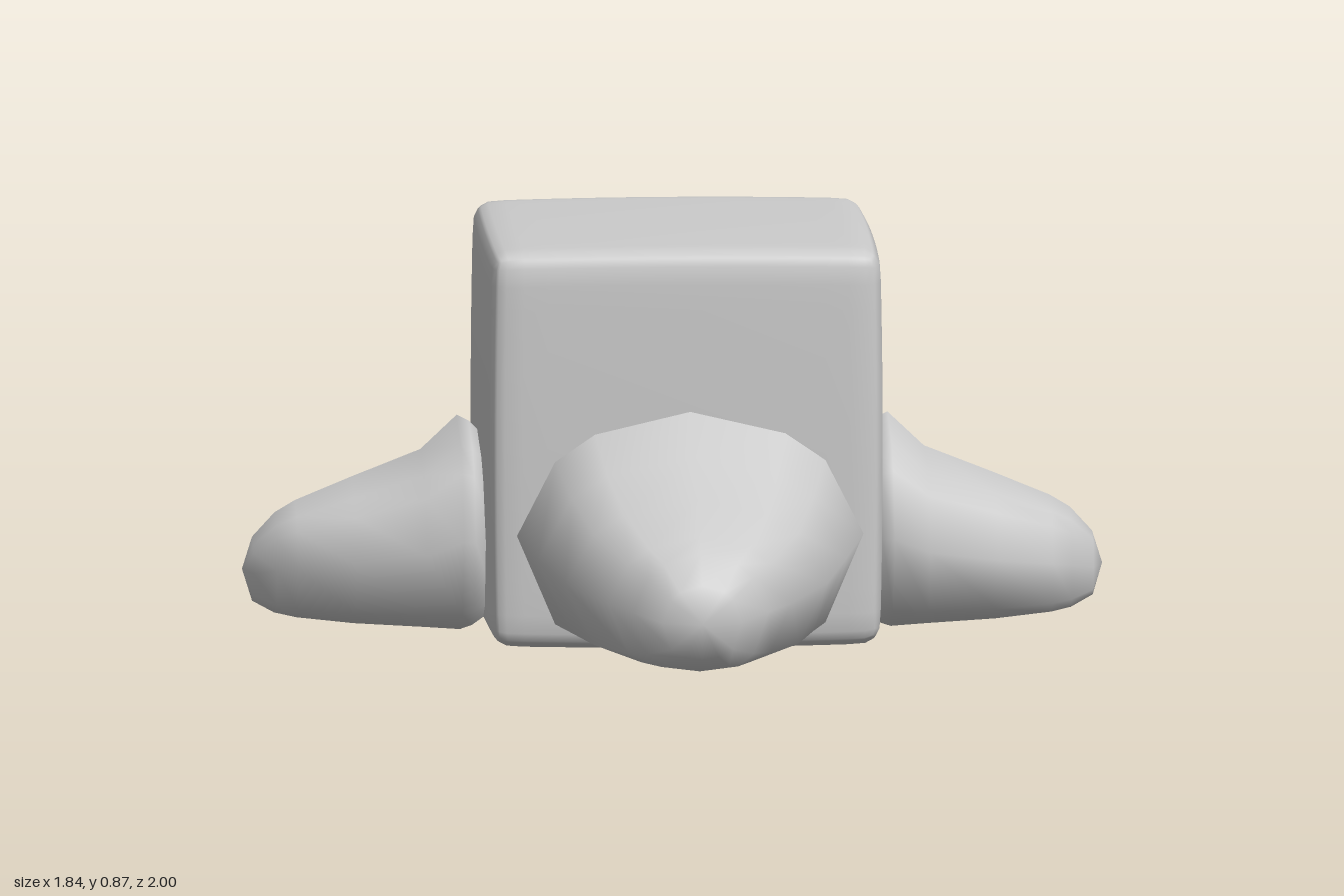
import * as THREE from 'three';
import { mergeVertices } from 'three/addons/utils/BufferGeometryUtils.js';

const material = new THREE.MeshStandardMaterial({ color: 0xcccccc });

// Cube with rounded edges and slightly swollen faces
function softCube(hx, hy, hz, radius, bulge) {
  let geo = new THREE.BoxGeometry(2, 2, 2, 16, 16, 16);
  geo.deleteAttribute('normal');
  geo.deleteAttribute('uv');
  geo = mergeVertices(geo);
  const pos = geo.attributes.position;
  const half = new THREE.Vector3(hx, hy, hz);
  const inner = half.clone().subScalar(radius);
  const p = new THREE.Vector3();
  const core = new THREE.Vector3();
  const ease = (u) => Math.sin(u * Math.PI / 2); // crowds the rows towards the edges
  for (let i = 0; i < pos.count; i++) {
    p.fromBufferAttribute(pos, i);
    p.set(ease(p.x), ease(p.y), ease(p.z)).multiply(half);
    core.copy(p).clamp(inner.clone().negate(), inner);
    p.sub(core).setLength(radius).add(core);
    const n = p.clone().divide(half);
    const [a, b, c] = [n.x * n.x, n.y * n.y, n.z * n.z];
    p.x *= 1 + bulge * (1 - (b + c) / 2);
    p.y *= 1 + bulge * (1 - (a + c) / 2);
    p.z *= 1 + bulge * (1 - (a + b) / 2);
    pos.setXYZ(i, p.x, p.y, p.z);
  }
  geo.computeVertexNormals();
  return geo;
}

// Half outline of a foot's cross-section, from top to bottom, mirrored to a ring
const half = [[0, 1], [0.55, 0.82], [0.78, 0.6], [1, 0], [0.78, -0.72], [0.42, -0.93], [0, -1]];
const outline = [...half, ...half.slice(1, -1).reverse().map(([x, y]) => [-x, y])];

// Foot cross-sections: distance, half width, top, bottom
const sections = [
  [-0.08, 0.31, 0.47, 0.05],
  [-0.03, 0.355, 0.52, 0.015],
  [0.0, 0.37, 0.535, 0.005],
  [0.09, 0.33, 0.45, 0.012],
  [0.26, 0.28, 0.383, 0.022],
  [0.40, 0.195, 0.325, 0.035],
  [0.45, 0.145, 0.295, 0.045],
  [0.505, 0.085, 0.235, 0.075],
];

// Foot lofted along +z, closed with a point at either end
function footGeometry() {
  const n = outline.length;
  const verts = [];
  const index = [];
  for (const [z, w, top, bottom] of sections) {
    for (const [x, y] of outline) {
      verts.push(x * w, (top + bottom) / 2 + y * (top - bottom) / 2, z);
    }
  }
  const inside = verts.length / 3;
  verts.push(0, 0.26, -0.08, 0, 0.155, 0.53);
  const last = (sections.length - 1) * n;
  for (let j = 0; j < n; j++) {
    const k = (j + 1) % n;
    for (let r = 0; r < last; r += n) {
      index.push(r + j, r + n + j, r + k, r + k, r + n + j, r + n + k);
    }
    index.push(inside, j, k, inside + 1, last + k, last + j);
  }
  const geo = new THREE.BufferGeometry();
  geo.setAttribute('position', new THREE.Float32BufferAttribute(verts, 3));
  geo.setIndex(index);
  geo.computeVertexNormals();
  return geo;
}

export function createModel() {
  const model = new THREE.Group();
  model.name = 'cubeWithFeet';

  const body = new THREE.Mesh(softCube(0.415, 0.424, 0.412, 0.045, 0.027), material);
  body.name = 'body';
  body.position.set(0.01, 0.443, 0);
  model.add(body);

  // Large feet front and back, smaller ones at the sides
  const foot = footGeometry();
  const feet = [
    ['frontFoot', 0.015, 0.47, 0, 1],
    ['backFoot', 0.015, -0.47, Math.PI, 1],
    ['leftFoot', 0.46, 0, Math.PI / 2, 0.865],
    ['rightFoot', -0.46, 0, -Math.PI / 2, 0.865],
  ];
  for (const [name, x, z, turn, scale] of feet) {
    const mesh = new THREE.Mesh(foot, material);
    mesh.name = name;
    mesh.position.set(x, 0, z);
    mesh.rotation.y = turn;
    mesh.scale.setScalar(scale);
    model.add(mesh);
  }
  return model;
}
